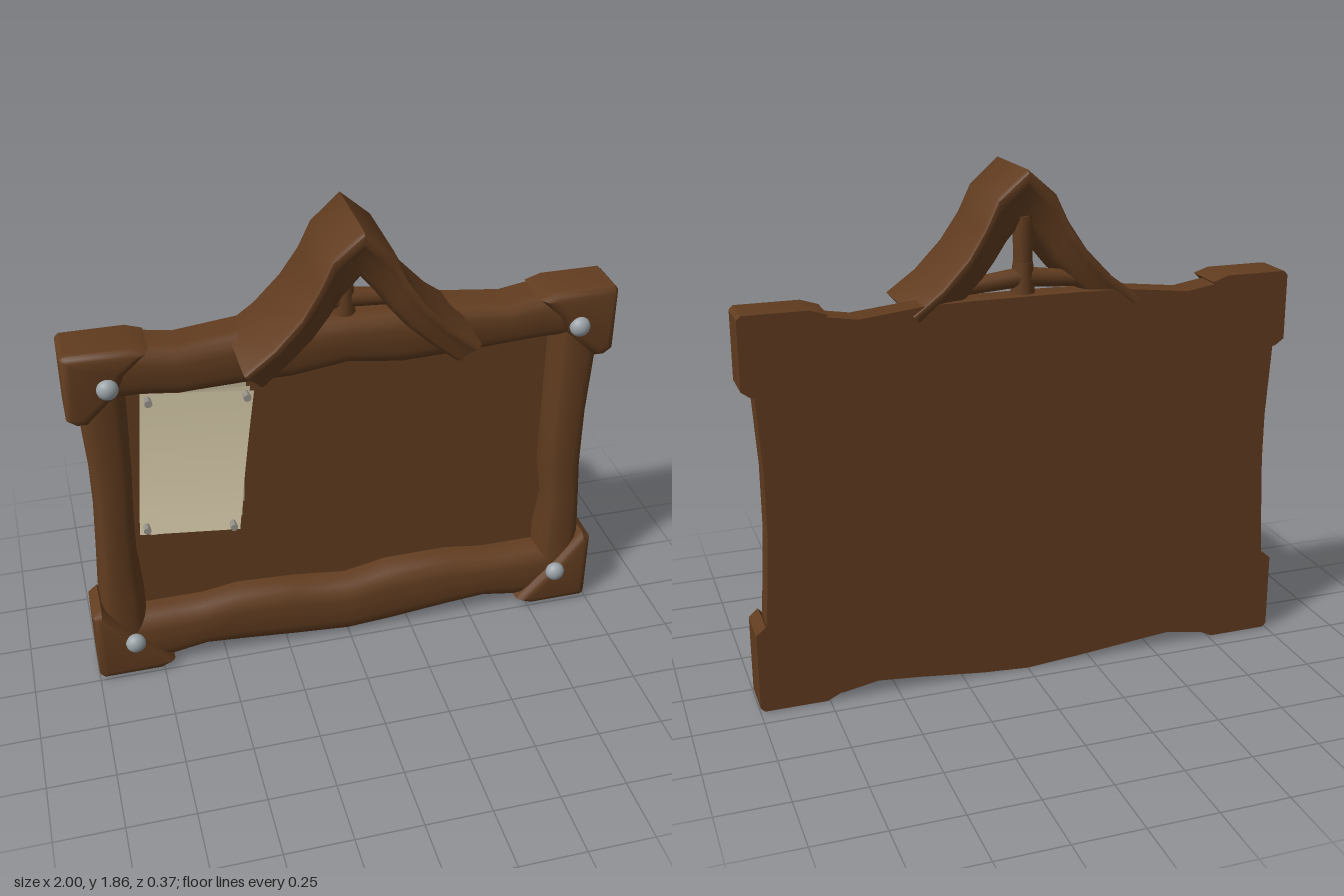
import * as THREE from 'three';
import { toCreasedNormals } from 'three/addons/utils/BufferGeometryUtils.js';

const material = (name, color, side = THREE.FrontSide) => {
  const m = new THREE.MeshStandardMaterial({ color, side });
  m.name = name;
  return m;
};

const BACK = -0.178;

// Skin a row of closed cross-sections, cap both ends, and face it outwards
function loft(sections, crease = 0.7) {
  const n = sections[0].length, tris = [];
  for (let i = 0; i < sections.length - 1; i++) {
    for (let j = 0; j < n; j++) {
      const k = (j + 1) % n, a = sections[i], b = sections[i + 1];
      tris.push([a[j], b[j], b[k]], [a[j], b[k], a[k]]);
    }
  }
  const first = sections[0], last = sections[sections.length - 1];
  for (let j = 1; j < n - 1; j++) {
    tris.push([first[0], first[j], first[j + 1]], [last[0], last[j + 1], last[j]]);
  }
  let volume = 0;
  const v = p => new THREE.Vector3(...p);
  for (const [a, b, c] of tris) volume += v(a).dot(v(b).cross(v(c)));
  if (volume < 0) tris.forEach(t => t.reverse());
  const g = new THREE.BufferGeometry();
  g.setAttribute('position', new THREE.Float32BufferAttribute(tris.flat(2), 3));
  return toCreasedNormals(g, crease);
}

// Rounded frame profile: fraction from outer to inner edge, z
const PROFILE = [
  [0, BACK], [0, -0.08], [0.04, -0.048], [0.13, -0.029], [0.28, -0.021],
  [0.68, -0.022], [0.82, -0.032], [0.92, -0.055], [0.98, -0.09], [1, -0.125], [1, BACK],
];

// Stations: position along the bar, outer edge, inner edge
function barGeometry(stations, horizontal) {
  return loft(stations.map(([t, outer, inner]) => PROFILE.map(([f, z]) => {
    const s = outer + (inner - outer) * f;
    return horizontal ? [t, s, z] : [s, t, z];
  })));
}

// Corner block with a rounded front rim and a flat back
function cornerGeometry(points, side) {
  const bevel = 0.034;
  const shape = new THREE.Shape(points.map(([x, y]) => new THREE.Vector2(side * x, y)));
  const g = new THREE.ExtrudeGeometry(shape, {
    depth: 0.186 - bevel, bevelSize: bevel, bevelThickness: bevel, bevelOffset: -bevel, bevelSegments: 4,
  });
  g.translate(0, 0, BACK);
  const p = g.attributes.position;
  for (let i = 0; i < p.count; i++) p.setZ(i, Math.max(p.getZ(i), BACK));
  return toCreasedNormals(g, 0.7);
}

export function createModel() {
  const group = new THREE.Group();
  const wood = material('brown wood', 0x613c1f);
  const metal = material('grey metal', 0x9aa3a8);
  const pinMetal = material('pin metal', 0x98938a);
  const paper = material('parchment', 0xdccfae, THREE.DoubleSide);

  const add = (name, geometry, mat, x = 0, y = 0, z = 0) => {
    const mesh = new THREE.Mesh(geometry, mat);
    mesh.name = name;
    mesh.position.set(x, y, z);
    group.add(mesh);
    return mesh;
  };

  // Recessed board
  add('board', new THREE.BoxGeometry(1.72, 1.08, 0.056), wood, 0, 0.74, BACK + 0.028);

  // Wavy frame bars
  add('topBar', barGeometry([
    [-0.9, 1.42, 1.22], [-0.72, 1.42, 1.22], [-0.6, 1.4, 1.205], [-0.37, 1.426, 1.21],
    [-0.2, 1.43, 1.21], [0, 1.43, 1.24], [0.2, 1.43, 1.21], [0.37, 1.426, 1.215],
    [0.6, 1.4, 1.23], [0.72, 1.42, 1.235], [0.9, 1.42, 1.235],
  ], true), wood);
  add('bottomBar', barGeometry([
    [-0.9, 0.03, 0.26], [-0.7, 0.032, 0.26], [-0.57, 0.055, 0.26], [-0.43, 0.042, 0.282],
    [-0.2, 0.02, 0.27], [0, 0.004, 0.245], [0.17, 0.015, 0.28], [0.42, 0.042, 0.282],
    [0.57, 0.055, 0.26], [0.7, 0.032, 0.26], [0.9, 0.03, 0.26],
  ], true), wood);
  add('rightBar', barGeometry([
    [0.1, -0.96, -0.79], [0.35, -0.96, -0.79], [0.52, -0.95, -0.803],
    [0.72, -0.94, -0.8], [0.9, -0.94, -0.79], [1.16, -0.955, -0.785], [1.36, -0.96, -0.785],
  ], false), wood);
  add('leftBar', barGeometry([
    [0.1, 0.96, 0.79], [0.35, 0.96, 0.79], [0.5, 0.95, 0.81],
    [0.66, 0.94, 0.785], [0.9, 0.94, 0.785], [1.16, 0.955, 0.785], [1.36, 0.96, 0.785],
  ], false), wood);

  // Corner blocks with a domed bolt each
  const corners = {
    top: [[0.985, 1.445], [0.76, 1.445], [0.7, 1.425], [0.79, 1.34], [0.82, 1.27], [0.93, 1.165], [0.965, 1.165], [1, 1.19], [1, 1.43]],
    bottom: [[0.985, 0.008], [0.76, 0.008], [0.705, 0.035], [0.78, 0.12], [0.86, 0.2], [0.965, 0.335], [1, 0.305], [1, 0.023]],
  };
  for (const side of [-1, 1]) {
    for (const [level, points] of Object.entries(corners)) {
      add(level + 'Corner', cornerGeometry(points, side), wood);
      const bolt = add(level + 'Bolt', new THREE.SphereGeometry(0.038, 20, 14), metal,
        side * 0.852, level === 'top' ? 1.31 : 0.172, 0.01);
      bolt.scale.z = 0.85;
    }
  }

  // Peaked roof: outer x, y, inner x, y, half depth
  const half = [
    [0, 1.86, 0, 1.675, 0.174], [0.105, 1.77, 0.06, 1.6, 0.166], [0.15, 1.675, 0.105, 1.535, 0.168],
    [0.215, 1.575, 0.165, 1.465, 0.178], [0.31, 1.475, 0.25, 1.385, 0.182], [0.415, 1.397, 0.338, 1.312, 0.187],
  ];
  const roofLine = [...half.slice(1).reverse().map(([a, b, c, d, e]) => [-a, b, -c, d, e]), ...half];
  const roofProfile = [[0, -0.015], [0.06, -0.002], [0.2, 0], [0.3, -0.008], [0.45, -0.022], [0.8, -0.032], [0.92, -0.046], [1, -0.075]];
  add('roof', loft(roofLine.map(([ox, oy, ix, iy, d]) => {
    const ring = s => roofProfile.map(([f, z]) => [ox + (ix - ox) * f, oy + (iy - oy) * f, s * (d + z)]);
    return [...ring(1), ...ring(-1).reverse()];
  }), 0.8), wood);

  // Truss standing on the top bar
  const trussZ = -0.11;
  add('trussPost', new THREE.CylinderGeometry(0.038, 0.03, 0.28, 12), wood, 0, 1.56, trussZ);
  add('trussCollar', new THREE.CylinderGeometry(0.036, 0.043, 0.11, 12), wood, 0, 1.483, trussZ);
  for (const side of [-1, 1]) {
    const beam = add('trussBeam', new THREE.CylinderGeometry(0.036, 0.028, 0.25, 12), wood, side * 0.115, 1.473, trussZ);
    beam.rotation.z = side * (Math.PI / 2 - 0.1);
  }

  // Fanned, curled sheets: corners tl, tr, bl, br as x, y, z
  const sheets = [
    [[-0.745, 1.27, 0], [-0.35, 1.222, 0], [-0.797, 0.705, 0.042], [-0.432, 0.662, 0.042]],
    [[-0.735, 1.25, -0.005], [-0.355, 1.212, -0.05], [-0.755, 0.69, 0.034], [-0.41, 0.67, -0.03]],
    [[-0.73, 1.24, -0.01], [-0.36, 1.205, -0.1], [-0.74, 0.682, 0.026], [-0.388, 0.682, -0.1]],
  ];
  for (const [tl, tr, bl, br] of sheets) {
    const g = new THREE.PlaneGeometry(1, 1, 6, 14);
    const p = g.attributes.position;
    for (let i = 0; i < p.count; i++) {
      const u = p.getX(i) + 0.5, v = 0.5 - p.getY(i);
      const mix = (k, w) => (tl[k] * (1 - u) + tr[k] * u) * (1 - w) + (bl[k] * (1 - u) + br[k] * u) * w;
      p.setXYZ(i, mix(0, v), mix(1, v), mix(2, v ** 2.2));
    }
    g.computeVertexNormals();
    add('sheet', g, paper);
  }

  // Pins holding the sheets
  for (const [x, y, z] of [[-0.722, 1.245, 0.015], [-0.38, 1.215, 0.015], [-0.77, 0.737, 0.05], [-0.458, 0.695, 0.053]]) {
    const pin = add('pin', new THREE.CylinderGeometry(0.014, 0.011, 0.04, 10), pinMetal, x, y, z);
    pin.rotation.x = Math.PI / 2;
  }
  return group;
}
